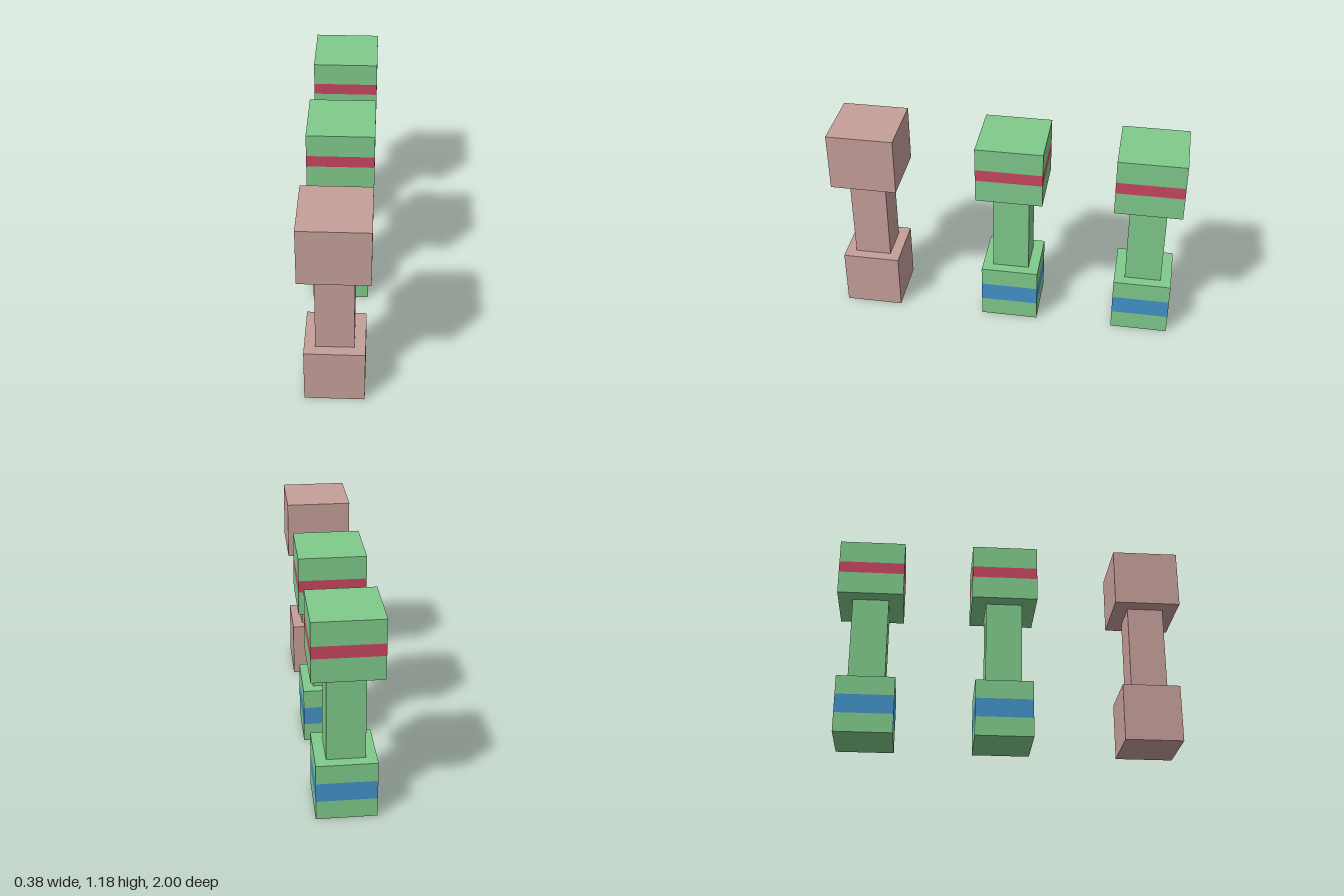
import * as THREE from 'three';

export function createModel() {
  const material = (name, color) => {
    const m = new THREE.MeshStandardMaterial({ color });
    m.name = name;
    return m;
  };
  const pink = material('dusty pink', 0xc69f9a);
  const green = material('soft green', 0x80cb8b);
  const red = material('crimson', 0xc94660);
  const blue = material('mid blue', 0x4493c9);

  // Square block standing between two heights
  const block = (name, width, y0, y1, mat) => {
    const mesh = new THREE.Mesh(new THREE.BoxGeometry(width, y1 - y0, width), mat);
    mesh.name = name;
    mesh.position.y = (y0 + y1) / 2;
    return mesh;
  };

  // Block with a flush band of another colour around its middle
  const bandedBlock = (name, width, [y0, y1], [b0, b1], mat, bandMat) => {
    const group = new THREE.Group();
    group.name = name;
    group.add(
      block(name + 'Lower', width, y0, b0, mat),
      block(name + 'Band', width, b0, b1, bandMat),
      block(name + 'Upper', width, b1, y1, mat)
    );
    return group;
  };

  const base = { width: 0.331, span: [0, 0.334], band: [0.112, 0.223] };
  const head = { width: 0.38, span: [0.846, 1.182], band: [0.98, 1.049] };

  // A pillar: wide base, narrow shaft, wide head
  const pillar = (name, z, mat, banded) => {
    const group = new THREE.Group();
    group.name = name;
    group.position.z = z;
    group.add(block('shaft', 0.21, base.span[1], head.span[0], mat));
    if (banded) {
      group.add(bandedBlock('base', base.width, base.span, base.band, mat, blue));
      group.add(bandedBlock('head', head.width, head.span, head.band, mat, red));
    } else {
      group.add(block('base', base.width, ...base.span, mat));
      group.add(block('head', head.width, ...head.span, mat));
    }
    return group;
  };

  const model = new THREE.Group();
  model.name = 'pillarRow';
  model.add(
    pillar('frontPillar', 0.81, pink, false),
    pillar('middlePillar', -0.03, green, true),
    pillar('backPillar', -0.81, green, true)
  );
  return model;
}
